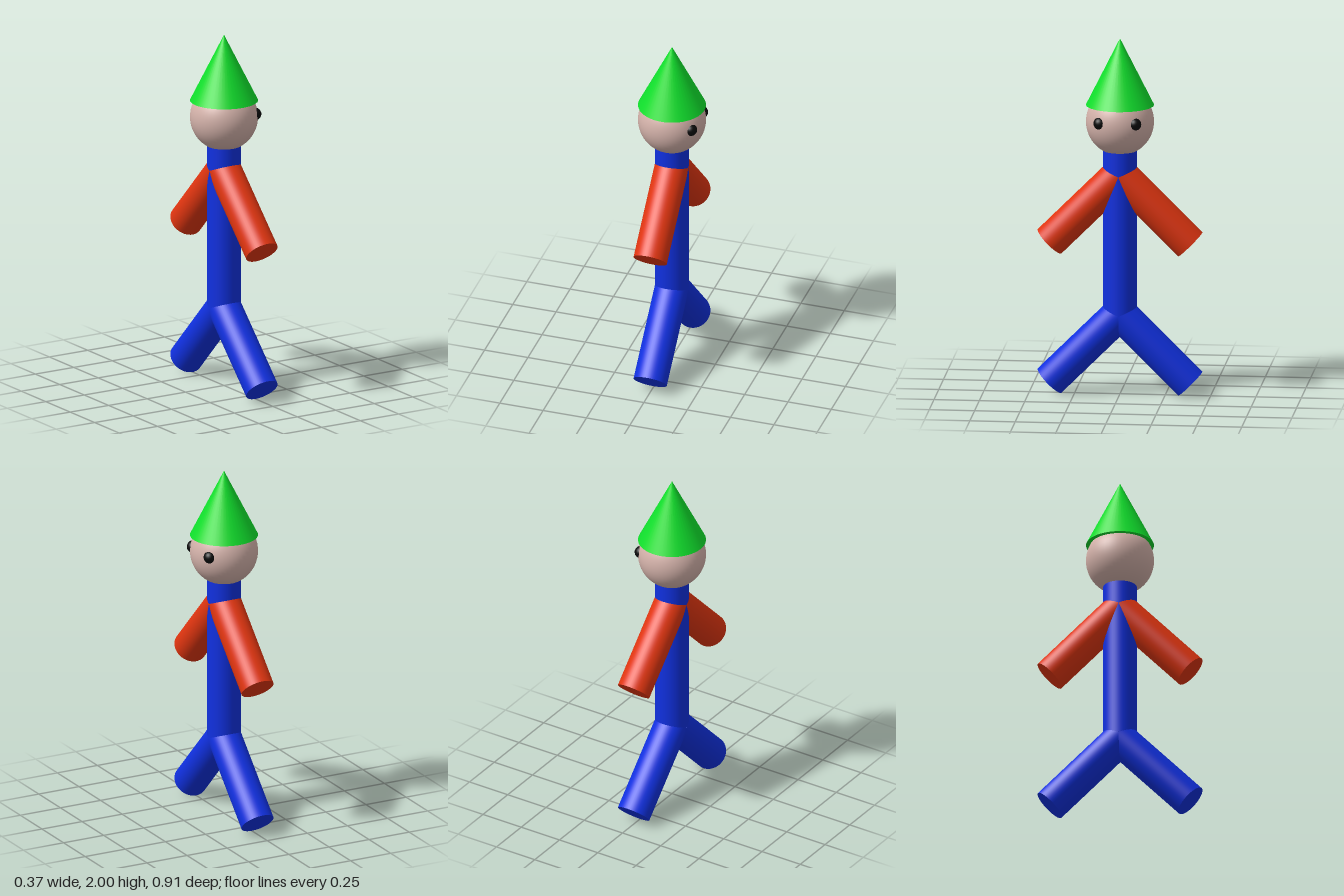
import * as THREE from 'three';

const R = 0.0935; // shared radius of torso and limbs
const HEAD_R = 0.187, HEAD_Y = 1.533;

export function createModel() {
  const group = new THREE.Group();
  const mat = (color) => new THREE.MeshStandardMaterial({ color });
  const blue = mat(0x1030e0), red = mat(0xe03510), green = mat(0x10e02c);
  const skin = mat(0xd4b2aa), black = mat(0x0a0a0a);

  const add = (name, geometry, material, x, y, z) => {
    const mesh = new THREE.Mesh(geometry, material);
    mesh.name = name;
    mesh.position.set(x, y, z);
    group.add(mesh);
    return mesh;
  };

  // Torso running up into the head
  add('torso', new THREE.CylinderGeometry(R, R, 0.935, 48), blue, 0, 0.923, 0);

  // Limbs slope 45 degrees down from the torso axis, to the front and back
  const reach = 0.3875;
  const limb = new THREE.CylinderGeometry(R, R, reach * Math.SQRT2, 48);
  for (const [side, s] of [['front', 1], ['back', -1]]) {
    const arm = add(side + 'Arm', limb, red, 0, 1.2375 - reach / 2, s * reach / 2);
    const leg = add(side + 'Leg', limb, blue, 0, 0.4536 - reach / 2, s * reach / 2);
    arm.rotation.x = leg.rotation.x = -s * Math.PI / 4;
  }

  // Head with eyes looking along +x
  add('head', new THREE.SphereGeometry(HEAD_R, 48, 32), skin, 0, HEAD_Y, 0);
  const eye = new THREE.SphereGeometry(0.035, 24, 16);
  for (const s of [1, -1]) {
    add(s > 0 ? 'frontEye' : 'backEye', eye, black, 0.14, 1.55, s * 0.097);
  }

  // Pointed hat
  const hatBase = HEAD_Y + HEAD_R / 2;
  const hatHeight = 2 - hatBase;
  add('hat', new THREE.ConeGeometry(HEAD_R, hatHeight, 48), green, 0, hatBase + hatHeight / 2, 0);

  return group;
}
